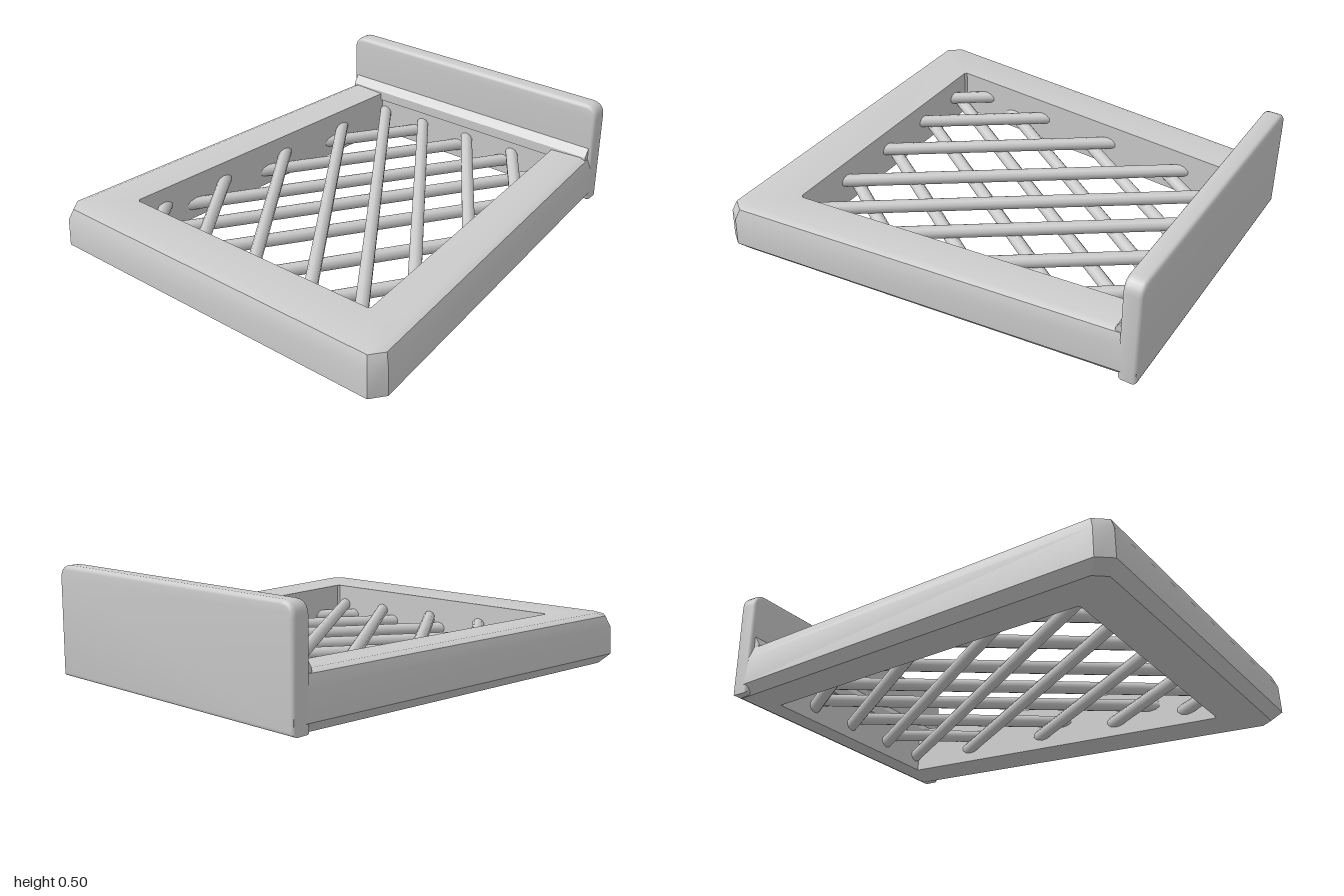
import * as THREE from 'three';
import { toCreasedNormals } from 'three/addons/utils/BufferGeometryUtils.js';

const material = new THREE.MeshStandardMaterial({ color: 0xcccccc });

function part(name, geometry) {
  const mesh = new THREE.Mesh(geometry, material);
  mesh.name = name;
  return mesh;
}

// Tapered frame: a cross-section swept between the outer and inner outlines
function frameGeometry() {
  const mirrorOutline = half => [...half, ...half.map(([x, z]) => [-x, z]).reverse()];
  const outer = mirrorOutline([[0.73, -0.99], [0.91, 0.93], [0.86, 0.995]]);
  const inner = mirrorOutline([[0.53, -0.89], [0.67, 0.73], [0.66, 0.74]]);
  // [blend from outer to inner, height]
  const profile = [[1, 0.012], [0.18, 0.005], [0, 0.05], [0.02, 0.18], [0.1, 0.23], [0.25, 0.243], [1, 0.235]];
  const positions = [], index = [];
  const n = outer.length, m = profile.length;
  for (const [t, y] of profile) {
    outer.forEach(([x, z], i) => positions.push(
      THREE.MathUtils.lerp(x, inner[i][0], t), y, THREE.MathUtils.lerp(z, inner[i][1], t)));
  }
  for (let j = 0; j < m; j++) {
    for (let i = 0; i < n; i++) {
      const a = j * n + i, b = ((j + 1) % m) * n + i;
      const c = j * n + (i + 1) % n, d = ((j + 1) % m) * n + (i + 1) % n;
      index.push(a, b, c, b, d, c);
    }
  }
  const geometry = new THREE.BufferGeometry();
  geometry.setAttribute('position', new THREE.Float32BufferAttribute(positions, 3));
  geometry.setIndex(index);
  return toCreasedNormals(geometry, 0.45);
}

// Upright board with rounded top corners and softened edges
function boardGeometry() {
  const bevel = 0.018, w = 0.735 - bevel, bottom = 0.008 + bevel, top = 0.51 - bevel, r = 0.045;
  const shape = new THREE.Shape();
  shape.moveTo(-w, bottom);
  shape.lineTo(w, bottom);
  shape.lineTo(w, top - r);
  shape.quadraticCurveTo(w, top, w - r, top);
  shape.lineTo(-w + r, top);
  shape.quadraticCurveTo(-w, top, -w, top - r);
  const geometry = new THREE.ExtrudeGeometry(shape, {
    depth: 0.088 - 2 * bevel, bevelThickness: bevel, bevelSize: bevel, bevelSegments: 3, curveSegments: 5,
  });
  geometry.translate(0, 0, -0.995 + bevel);
  return toCreasedNormals(geometry, 0.6);
}

// Small sloped fillet where the board meets the frame
function filletGeometry() {
  const shape = new THREE.Shape([
    new THREE.Vector2(0.92, 0.2), new THREE.Vector2(0.88, 0.2),
    new THREE.Vector2(0.88, 0.248), new THREE.Vector2(0.908, 0.29), new THREE.Vector2(0.92, 0.29),
  ]);
  const geometry = new THREE.ExtrudeGeometry(shape, { depth: 1.43, bevelEnabled: false });
  geometry.rotateY(Math.PI / 2);
  geometry.translate(-0.715, 0, 0);
  return geometry;
}

// One round slat between two points
function slat(name, from, to) {
  const dir = to.clone().sub(from);
  const mesh = part(name, new THREE.CylinderGeometry(0.03, 0.03, dir.length(), 10));
  mesh.position.copy(from).add(to).multiplyScalar(0.5);
  mesh.quaternion.setFromUnitVectors(new THREE.Vector3(0, 1, 0), dir.normalize());
  return mesh;
}

export function createModel() {
  const group = new THREE.Group();
  group.name = 'latticePanel';
  group.add(part('frame', frameGeometry()));
  group.add(part('backBoard', boardGeometry()));
  group.add(part('backFillet', filletGeometry()));

  // Two crossing layers of slats, each clipped to the tapered opening
  const lattice = new THREE.Group();
  lattice.name = 'lattice';
  const slope = 0.69;
  const offsets = [-1.07, -0.79, -0.48, -0.16, 0.11, 0.36, 0.64, 0.915];
  for (const [side, y, name] of [[1, 0.135, 'upperSlat'], [-1, 0.085, 'lowerSlat']]) {
    for (const c of offsets) {
      const z0 = Math.max(-0.91, -(0.63 + c) / (slope + 0.086));
      const z1 = Math.min(0.76, (0.63 - c) / (slope - 0.086));
      lattice.add(slat(name,
        new THREE.Vector3(side * (c + slope * z0), y, z0),
        new THREE.Vector3(side * (c + slope * z1), y, z1)));
    }
  }
  group.add(lattice);
  return group;
}
